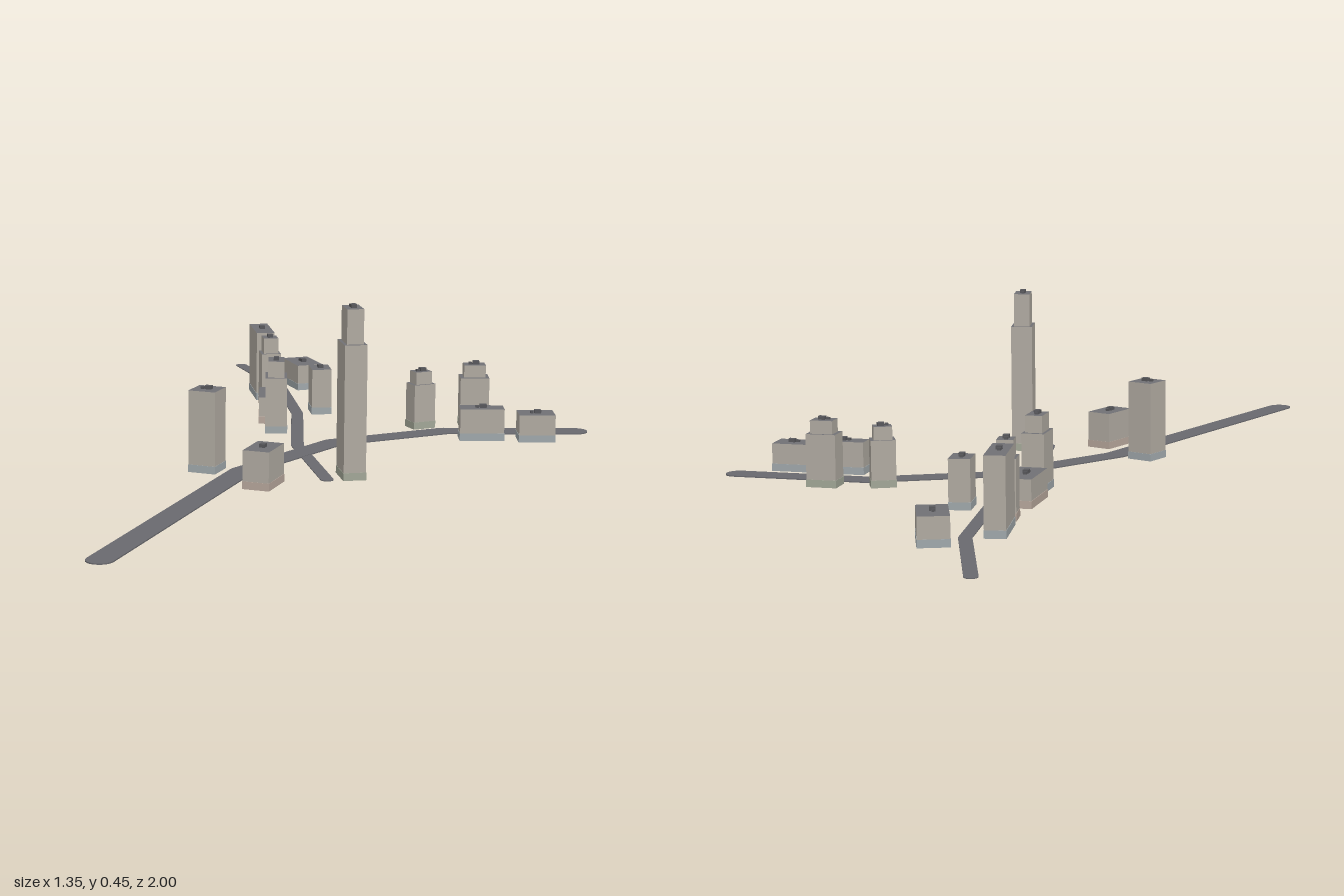
import * as THREE from 'three';

const mat = (name, color) => {
  const m = new THREE.MeshStandardMaterial({ color });
  m.name = name;
  return m;
};

export function createModel() {
  const town = new THREE.Group();
  town.name = 'townBlock';

  const asphalt = mat('asphalt', 0x69696e);
  const wall = mat('wall', 0xb0aaa1);
  const roof = mat('roof', 0x717175);
  const vent = mat('roofUnit', 0x58585c);
  const shops = [mat('shopPink', 0xb7a79c), mat('shopBlue', 0xa0a8ab), mat('shopGreen', 0xa2a797)];

  const add = (parent, name, geometry, material, x, y, z) => {
    const m = new THREE.Mesh(geometry, material);
    m.name = name;
    m.position.set(x, y, z);
    parent.add(m);
    return m;
  };

  // Box standing on height y; the top face takes the roof colour
  const wallMats = [wall, wall, roof, wall, wall, wall];
  const block = (parent, name, l, h, w, y) =>
    add(parent, name, new THREE.BoxGeometry(l, h, w), wallMats, 0, y + h / 2, 0);

  // Flat road: straight strips with a round disc at every joint and end
  function road(name, points, width, thick) {
    const g = new THREE.Group();
    g.name = name;
    points.forEach(([x, z], i) => {
      add(g, 'roadJoint', new THREE.CylinderGeometry(width / 2, width / 2, thick, 20), asphalt, x, thick / 2, z);
      if (i === 0) return;
      const [px, pz] = points[i - 1];
      const strip = add(g, 'roadStrip',
        new THREE.BoxGeometry(Math.hypot(x - px, z - pz), thick, width),
        asphalt, (x + px) / 2, thick / 2, (z + pz) / 2);
      strip.rotation.y = Math.atan2(pz - z, x - px);
    });
    town.add(g);
  }

  road('mainRoad', [[0.642, -0.837], [0.36, -0.61], [0.207, -0.303], [0.216, 0.106], [0.493, 0.966]], 0.067, 0.003);
  road('sideRoad', [[-0.66, -0.985], [-0.344, -0.783], [-0.095, -0.534], [0.153, -0.21], [0.44, 0.043]], 0.034, 0.002);

  // x, z, direction of the long side (dx, dz), length, width, height, upper tier height, shop tint
  const buildings = [
    [-0.325, -0.862, 21, 13, 0.128, 0.078, 0.075, 0, 1],
    [-0.339, -0.680, 21, 20, 0.152, 0.053, 0.2, 0, 1],
    [-0.235, -0.585, 21, 20, 0.062, 0.056, 0.155, 0.2, 0],
    [-0.062, -0.598, 21, 21, 0.074, 0.056, 0.13, 0, 1],
    [-0.116, -0.440, 17, 22, 0.147, 0.070, 0.075, 0, 0],
    [-0.012, -0.328, 17, 22, 0.088, 0.060, 0.155, 0.2, 1],
    [0.376, -0.730, 54, -44, 0.08, 0.060, 0.14, 0.175, 2],
    [0.275, -0.616, 29, -57, 0.065, 0.050, 0.125, 0.16, 2],
    [0.487, -0.600, 54, -44, 0.12, 0.052, 0.088, 0, 1],
    [0.608, -0.685, 54, -44, 0.098, 0.070, 0.075, 0, 1],
    [0.465, -0.026, 54, 48, 0.09, 0.058, 0.35, 0.44, 2],
    [0.137, 0.155, 13, -4, 0.073, 0.075, 0.215, 0, 1],
    [0.349, 0.190, 53, 165, 0.111, 0.070, 0.1, 0, 0],
  ];

  for (const [x, z, dx, dz, l, w, h, upper, tint] of buildings) {
    const b = new THREE.Group();
    b.name = upper ? 'steppedTower' : 'building';
    b.position.set(x, 0, z);
    b.rotation.y = Math.atan2(-dz, dx);
    block(b, 'mainBlock', l, h, w, 0);
    if (upper) block(b, 'upperTier', l * 0.75, upper - h, w * 0.75, h);
    // ground-floor shop band
    add(b, 'shopBand', new THREE.BoxGeometry(l + 0.002, 0.02, w + 0.002), shops[tint], 0, 0.01, 0);
    // rooftop units
    const top = upper || h;
    add(b, 'roofUnit', new THREE.BoxGeometry(0.018, 0.009, 0.015), vent, 0.004, top + 0.0045, 0);
    add(b, 'smallRoofUnit', new THREE.BoxGeometry(0.009, 0.006, 0.009), vent, -0.012, top + 0.003, 0.002);
    town.add(b);
  }

  return town;
}
